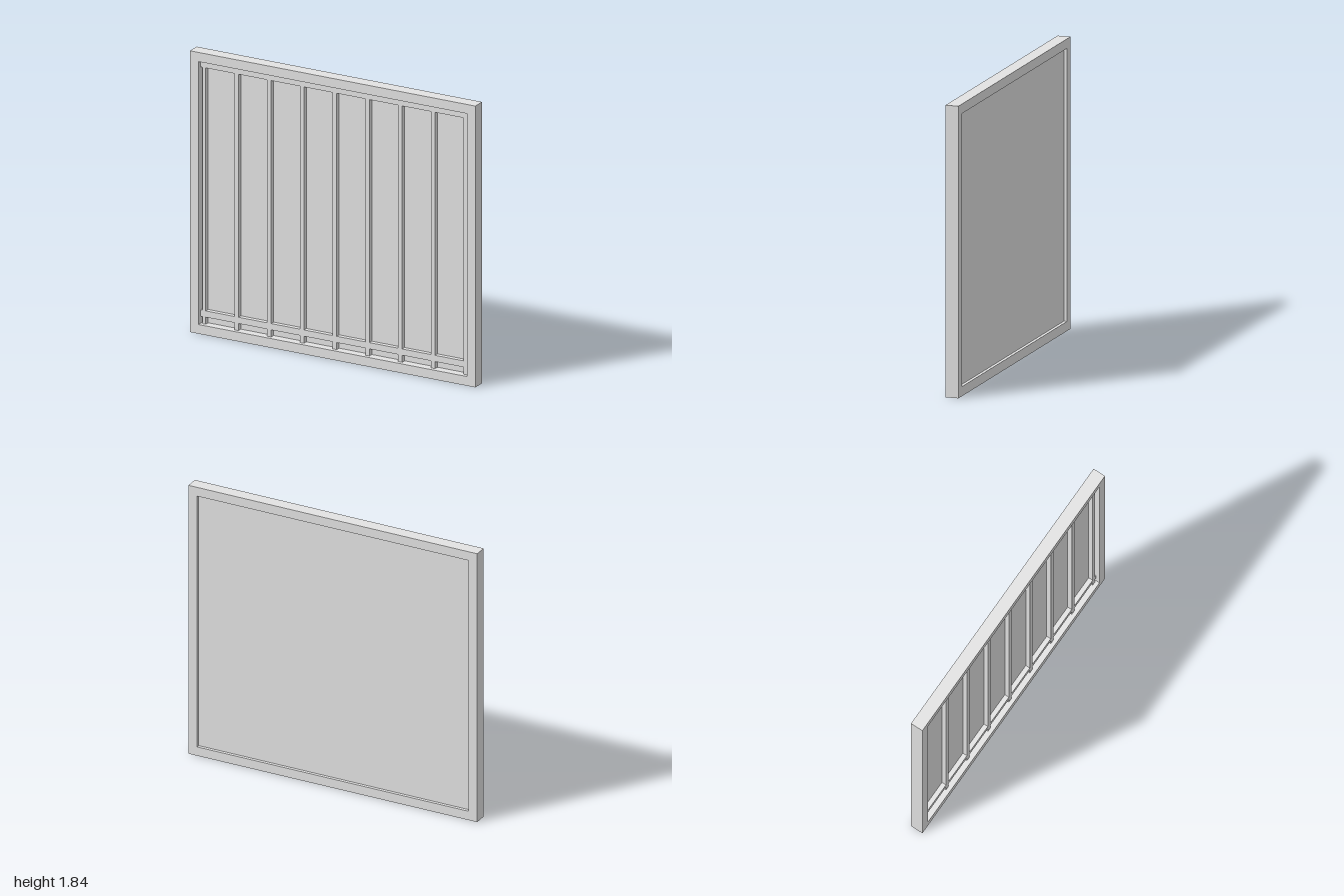
import * as THREE from 'three';

const rectPoints = (x0, y0, x1, y1) =>
  [[x0, y0], [x1, y0], [x1, y1], [x0, y1]].map(([x, y]) => new THREE.Vector2(x, y));

// Extrude an outline with rectangular openings between two z positions
function extrudeBetween(outline, openings, zBack, zFront) {
  const shape = new THREE.Shape(outline);
  for (const o of openings) shape.holes.push(new THREE.Path(rectPoints(...o).reverse()));
  const geometry = new THREE.ExtrudeGeometry(shape, { depth: zFront - zBack, bevelEnabled: false });
  return geometry.translate(0, 0, zBack);
}

export function createModel() {
  const group = new THREE.Group();
  const grey = new THREE.MeshStandardMaterial({ color: 0xe2e2e2 });
  grey.name = 'light grey';

  const add = (name, geometry) => {
    const mesh = new THREE.Mesh(geometry, grey);
    mesh.name = name;
    group.add(mesh);
  };

  const height = 1.835, halfDepth = 0.042;
  const inner = 0.94, sill = 0.06, head = 1.775;
  const panelBack = -0.021, panelFront = -0.014, grilleFront = 0.016;

  // Outer frame
  add('outerFrame', extrudeBetween(
    rectPoints(-1, 0, 1, height), [[-inner, sill, inner, head]], -halfDepth, halfDepth));

  // Thin sheet filling the frame
  const panel = new THREE.BoxGeometry(2 * inner, head - sill, panelFront - panelBack);
  panel.translate(0, (head + sill) / 2, (panelFront + panelBack) / 2);
  add('backPanel', panel);

  // Grille outline: rails reach the frame, end posts stand slightly inside it, feet sink into the sill
  const post = 0.927, railLow = 0.106, railHigh = 0.147, topRail = 1.732, grilleTop = 1.769;
  const foot = sill - 0.02;
  const side = [
    [post, foot], [post, railLow], [inner, railLow], [inner, railHigh],
    [post, railHigh], [post, topRail], [inner, topRail], [inner, grilleTop],
  ];
  const outline = [
    ...side.map(([x, y]) => new THREE.Vector2(x, y)),
    ...side.slice().reverse().map(([x, y]) => new THREE.Vector2(-x, y)),
  ];

  // Eight bays, each with a tall opening and a short one under the lower rail
  const bays = 8, pitch = 0.2295, barWidth = 0.028;
  const openings = [];
  for (let i = 0; i < bays; i++) {
    const x = (i - (bays - 1) / 2) * pitch, half = (pitch - barWidth) / 2;
    openings.push([x - half, railHigh, x + half, topRail]);
    openings.push([x - half, sill - 0.01, x + half, railLow]);
  }
  add('grille', extrudeBetween(outline, openings, panelFront, grilleFront));

  return group;
}
